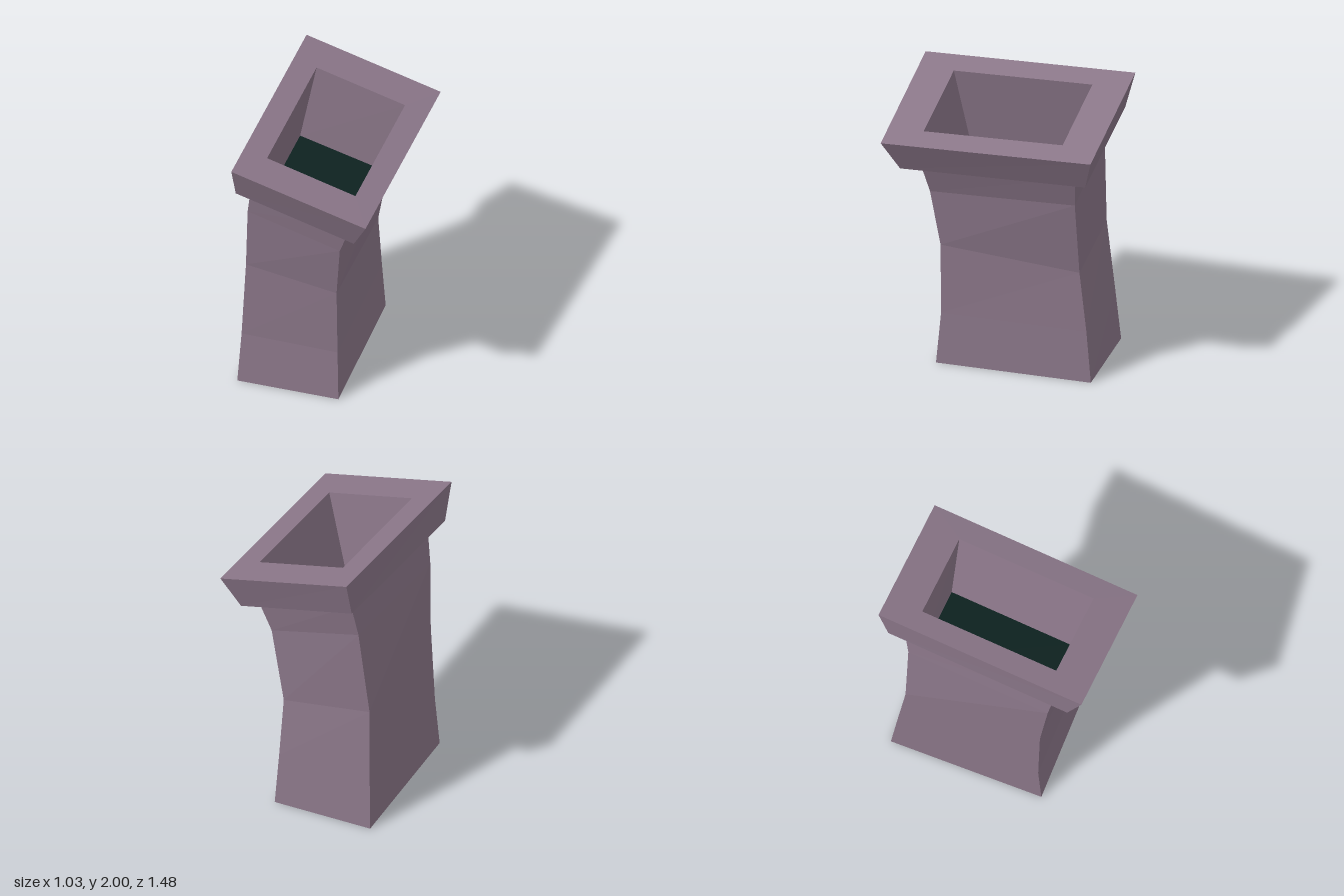
import * as THREE from 'three';

const stone = new THREE.MeshStandardMaterial({ color: 0x8a7688, side: THREE.DoubleSide });
stone.name = 'mauveStone';
const soot = new THREE.MeshStandardMaterial({ color: 0x0e2321, side: THREE.DoubleSide });
soot.name = 'darkSoot';

// Four-cornered sections, in order: back -x, front -x, front +x, back +x
const shaftRings = [
  [[-0.52, 0, -0.61], [-0.52, 0, 0.445], [0.17, 0, 0.445], [0.17, 0, -0.61]],
  [[-0.5, 0.37, -0.575], [-0.5, 0.37, 0.415], [0.155, 0.36, 0.415], [0.155, 0.36, -0.575]],
  [[-0.475, 0.87, -0.525], [-0.47, 0.945, 0.415], [0.15, 0.85, 0.42], [0.145, 0.775, -0.525]],
  [[-0.4, 1.475, -0.535], [-0.445, 1.42, 0.46], [0.19, 1.25, 0.48], [0.235, 1.305, -0.52]],
  [[-0.365, 1.722, -0.575], [-0.41, 1.66, 0.495], [0.275, 1.483, 0.52], [0.32, 1.544, -0.55]],
];
const rimBottom = [[-0.415, 1.74, -0.67], [-0.48, 1.67, 0.61], [0.335, 1.46, 0.64], [0.4, 1.53, -0.64]];
const rimTop = [[-0.41, 2, -0.74], [-0.48, 1.92, 0.71], [0.445, 1.68, 0.74], [0.515, 1.76, -0.71]];
const mouth = [[-0.265, 1.946, -0.49], [-0.31, 1.893, 0.467], [0.3, 1.735, 0.49], [0.345, 1.788, -0.47]];
const hearth = [[-0.37, 1.38, -0.466], [-0.41, 1.33, 0.38], [0.13, 1.19, 0.395], [0.17, 1.24, -0.455]];

// Flat-sided mesh from a list of quads
function quadMesh(name, quads, material) {
  const points = quads.flatMap(([a, b, c, d]) => [a, b, c, a, c, d]).flat();
  const geometry = new THREE.BufferGeometry();
  geometry.setAttribute('position', new THREE.Float32BufferAttribute(points, 3));
  geometry.computeVertexNormals();
  const mesh = new THREE.Mesh(geometry, material);
  mesh.name = name;
  return mesh;
}

// Walls joining each section to the next
function loft(name, rings, material) {
  const quads = [];
  for (let r = 0; r + 1 < rings.length; r++) {
    for (let i = 0; i < 4; i++) {
      const j = (i + 1) % 4;
      quads.push([rings[r][i], rings[r][j], rings[r + 1][j], rings[r + 1][i]]);
    }
  }
  return quadMesh(name, quads, material);
}

export function createModel() {
  const chimney = new THREE.Group();
  chimney.name = 'crookedChimney';
  chimney.add(
    // Bent shaft, open underneath
    loft('shaft', shaftRings, stone),
    // Flared cap: underside, sides and top face
    loft('cap', [shaftRings[4], rimBottom, rimTop, mouth], stone),
    // Flue walls narrowing down to the dark floor
    loft('flue', [mouth, hearth], stone),
    quadMesh('flueFloor', [hearth], soot),
  );
  return chimney;
}
